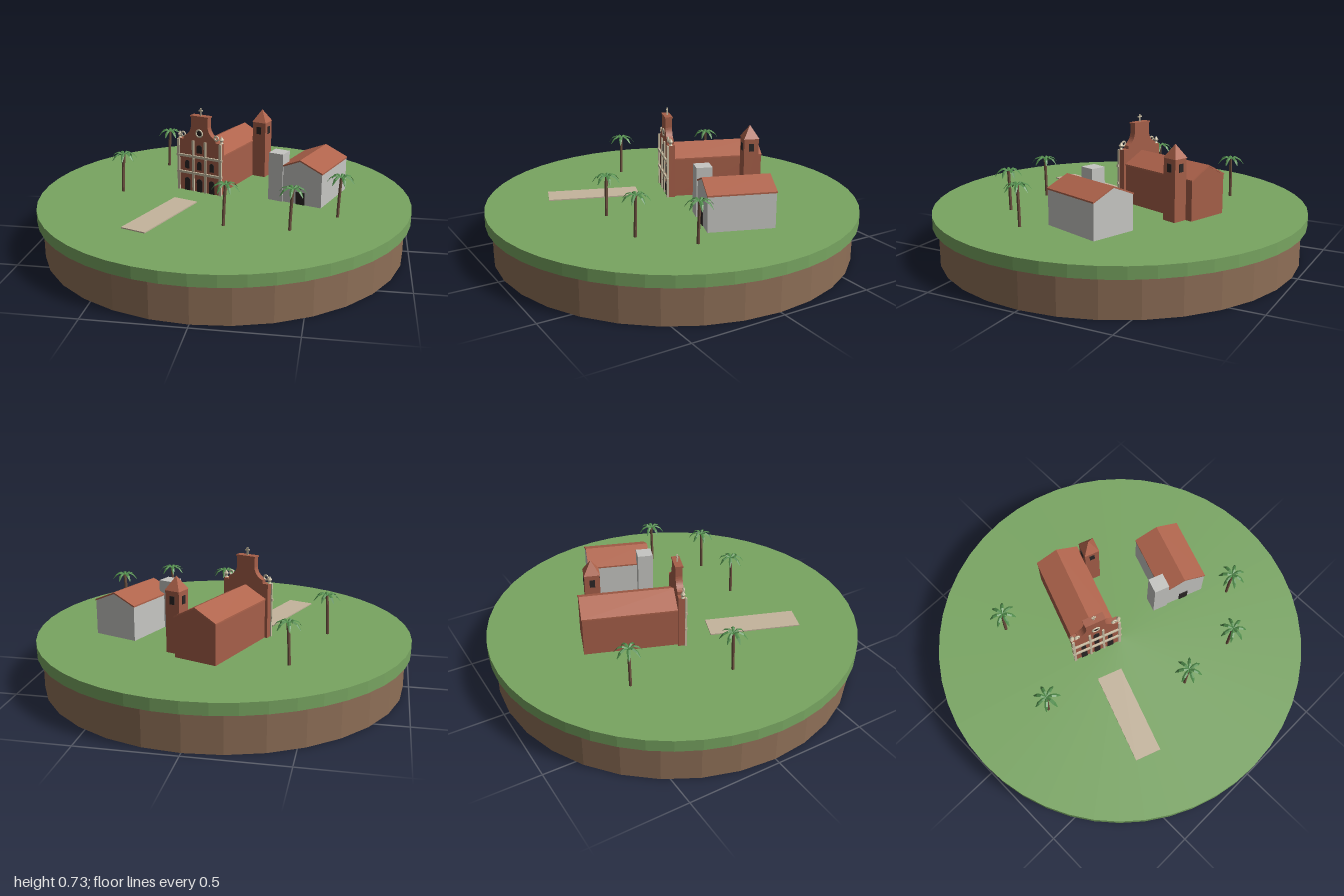
import * as THREE from 'three';

const mat = (name, color, side = THREE.FrontSide) =>
  Object.assign(new THREE.MeshStandardMaterial({ color, flatShading: true, side }), { name });

const GROUND = 0.262;
const TURN = -Math.PI / 9; // both buildings share this heading

export function createModel() {
  const M = {
    grass: mat('grass', 0x78a561),
    soil: mat('soil', 0x8e6f57),
    brick: mat('brick', 0xa65f49),
    roof: mat('roofTile', 0xb0644c),
    stone: mat('creamStone', 0xcbbfa4),
    plaster: mat('plaster', 0xc6c6c2),
    dark: mat('darkOpening', 0x2b2626),
    path: mat('path', 0xc4b49c),
    trunk: mat('trunk', 0x6e5240),
    leaf: mat('palmLeaf', 0x4f8a4a, THREE.DoubleSide),
  };
  const model = new THREE.Group();

  const add = (parent, name, geo, m, x = 0, y = 0, z = 0) => {
    const mesh = new THREE.Mesh(geo, m);
    mesh.name = name;
    mesh.position.set(x, y, z);
    parent.add(mesh);
    return mesh;
  };
  const box = (parent, name, m, w, h, d, x, y, z) =>
    add(parent, name, new THREE.BoxGeometry(w, h, d), m, x, y, z);
  const polygon = pts => new THREE.Shape(pts.map(p => new THREE.Vector2(...p)));
  const extrude = (shape, depth) =>
    new THREE.ExtrudeGeometry(shape, { depth, bevelEnabled: false, curveSegments: 8 });
  const group = (name, x, y, z, ry = 0) => {
    const g = new THREE.Group();
    g.name = name;
    g.position.set(x, y, z);
    g.rotation.y = ry;
    model.add(g);
    return g;
  };

  // Gabled hall running from z0 to z0 + len, with a thin tiled roof
  const hall = (parent, name, wall, w, eave, ridge, len, z0) => {
    const a = w / 2, t = 0.008, o = 0.003;
    add(parent, name + 'Walls',
      extrude(polygon([[-a, 0], [a, 0], [a, eave], [0, ridge], [-a, eave]]), len), wall, 0, 0, z0);
    add(parent, name + 'Roof', extrude(polygon([
      [-a - o, eave - 0.002], [0, ridge], [a + o, eave - 0.002],
      [a + o, eave - 0.002 + t], [0, ridge + t], [-a - o, eave - 0.002 + t],
    ]), len + 2 * o), M.roof, 0, 0, z0 - o);
  };

  // Thin dark round-headed opening
  const arch = (parent, name, w, h, x, y, z) => {
    const r = w / 2, s = new THREE.Shape();
    s.moveTo(-r, 0);
    s.lineTo(r, 0);
    s.lineTo(r, h - r);
    s.absarc(0, h - r, r, 0, Math.PI, false);
    s.lineTo(-r, 0);
    add(parent, name, extrude(s, 0.006), M.dark, x, y, z);
  };

  // Round island
  add(model, 'soilBase', new THREE.CylinderGeometry(0.97, 0.97, 0.2, 32), M.soil, 0, 0.1, 0);
  add(model, 'grassTop', new THREE.CylinderGeometry(1, 1, GROUND - 0.2, 48), M.grass, 0, (GROUND + 0.2) / 2, 0);
  box(group('footpath', -0.274, GROUND, 0.341, TURN), 'pathSlab', M.path, 0.14, 0.006, 0.49, 0, 0.003, 0);

  // Church nave
  const church = group('church', -0.135, GROUND, -0.05, TURN);
  hall(church, 'nave', M.brick, 0.234, 0.207, 0.267, 0.505, -0.505);

  // Curved-gable facade
  const f = new THREE.Shape();
  f.moveTo(-0.132, 0);
  f.lineTo(0.132, 0);
  f.lineTo(0.132, 0.292);
  f.lineTo(0.1, 0.292);
  f.lineTo(0.1, 0.31);
  f.quadraticCurveTo(0.058, 0.325, 0.052, 0.37);
  f.lineTo(0.052, 0.422);
  f.lineTo(-0.052, 0.422);
  f.lineTo(-0.052, 0.37);
  f.quadraticCurveTo(-0.058, 0.325, -0.1, 0.31);
  f.lineTo(-0.1, 0.292);
  f.lineTo(-0.132, 0.292);
  add(church, 'facade', extrude(f, 0.036), M.brick, 0, 0, -0.018);
  box(church, 'gableCap', M.brick, 0.112, 0.008, 0.042, 0, 0.425, 0);

  // Cream trim: pilasters, cornices, scrolls and urns
  for (const y of [0.105, 0.2]) box(church, 'cornice', M.stone, 0.284, 0.013, 0.012, 0, y, 0.022);
  for (const s of [-1, 1]) {
    box(church, 'outerPilaster', M.stone, 0.014, 0.29, 0.01, s * 0.131, 0.145, 0.021);
    box(church, 'innerPilaster', M.stone, 0.012, 0.29, 0.01, s * 0.038, 0.145, 0.021);
    add(church, 'scroll', new THREE.TorusGeometry(0.012, 0.005, 6, 12), M.stone, s * 0.104, 0.318, 0.014);
    const urn = [[0, 0], [0.011, 0], [0.006, 0.008], [0.013, 0.02], [0.005, 0.032], [0, 0.04]];
    add(church, 'urn', new THREE.LatheGeometry(urn.map(p => new THREE.Vector2(...p)), 8),
      M.stone, s * 0.131, 0.292, 0.005);
  }

  // Openings
  for (const x of [-0.077, 0, 0.077]) {
    arch(church, 'churchDoor', 0.034, 0.074, x, 0, 0.016);
    arch(church, 'churchWindow', 0.026, 0.048, x, 0.126, 0.016);
  }
  arch(church, 'upperWindow', 0.034, 0.046, 0, 0.222, 0.016);
  const disc = r => new THREE.CylinderGeometry(r, r, 0.006, 16).rotateX(Math.PI / 2);
  add(church, 'roundWindow', disc(0.017), M.dark, 0, 0.333, 0.017);
  add(church, 'roundWindowFrame', new THREE.TorusGeometry(0.019, 0.005, 6, 16), M.stone, 0, 0.333, 0.019);

  // Cross on the gable
  box(church, 'crossPost', M.stone, 0.007, 0.042, 0.007, 0, 0.449, 0);
  box(church, 'crossArm', M.stone, 0.024, 0.007, 0.007, 0, 0.456, 0);

  // Side bell tower with pyramid spire
  box(church, 'bellTower', M.brick, 0.08, 0.322, 0.08, 0.157, 0.161, -0.425);
  add(church, 'spire', new THREE.ConeGeometry(0.06, 0.07, 4).rotateY(Math.PI / 4), M.roof, 0.157, 0.357, -0.425);
  for (let i = 0; i < 4; i++) {
    const a = i * Math.PI / 2;
    const w = box(church, 'belfryWindow', M.dark, 0.028, 0.042, 0.006,
      0.157 + Math.sin(a) * 0.04, 0.275, -0.425 + Math.cos(a) * 0.04);
    w.rotation.y = a;
  }

  // Plastered house with a square tower
  const house = group('house', 0.472, GROUND, -0.088, TURN);
  hall(house, 'house', M.plaster, 0.248, 0.184, 0.236, 0.345, -0.1725);
  box(house, 'houseDoor', M.dark, 0.05, 0.068, 0.008, 0.006, 0.034, 0.173);
  box(group('houseTower', 0.296, GROUND, -0.005, TURN), 'houseTowerBlock', M.plaster, 0.083, 0.262, 0.083, 0, 0.131, 0);

  // One drooping frond: a folded strip from cross-sections, ridge along the middle
  const frondGeometry = () => {
    const sections = [[0, 0, 0.004], [0.028, 0.012, 0.009], [0.052, 0.002, 0.009], [0.072, -0.026, 0.002]];
    const pos = [], idx = [];
    sections.forEach(([x, y, w], i) => {
      pos.push(x, y - w * 0.5, -w, x, y, 0, x, y - w * 0.5, w);
      if (i) for (const k of [0, 1]) {
        const a = (i - 1) * 3 + k, b = i * 3 + k;
        idx.push(a, a + 1, b, a + 1, b + 1, b);
      }
    });
    const g = new THREE.BufferGeometry();
    g.setAttribute('position', new THREE.Float32BufferAttribute(pos, 3));
    g.setIndex(idx);
    g.computeVertexNormals();
    return g;
  };
  const frond = frondGeometry();

  // Palm trees with gently leaning trunks
  const lean = new THREE.QuadraticBezierCurve3(
    new THREE.Vector3(-0.01, 0, 0), new THREE.Vector3(-0.008, 0.1, 0), new THREE.Vector3(0, 0.213, 0));
  const trunk = new THREE.TubeGeometry(lean, 4, 0.0085, 6);
  [[-0.405, -0.48], [-0.55, 0.02], [0.076, 0.43], [0.405, 0.44], [0.63, 0.227]].forEach(([x, z], n) => {
    const palm = group('palm', x, GROUND, z);
    add(palm, 'palmTrunk', trunk, M.trunk);
    for (let i = 0; i < 7; i++)
      add(palm, 'palmFrond', frond, M.leaf, 0, 0.214, 0).rotation.y = n * 0.35 + i * Math.PI * 2 / 7;
  });

  return model;
}
